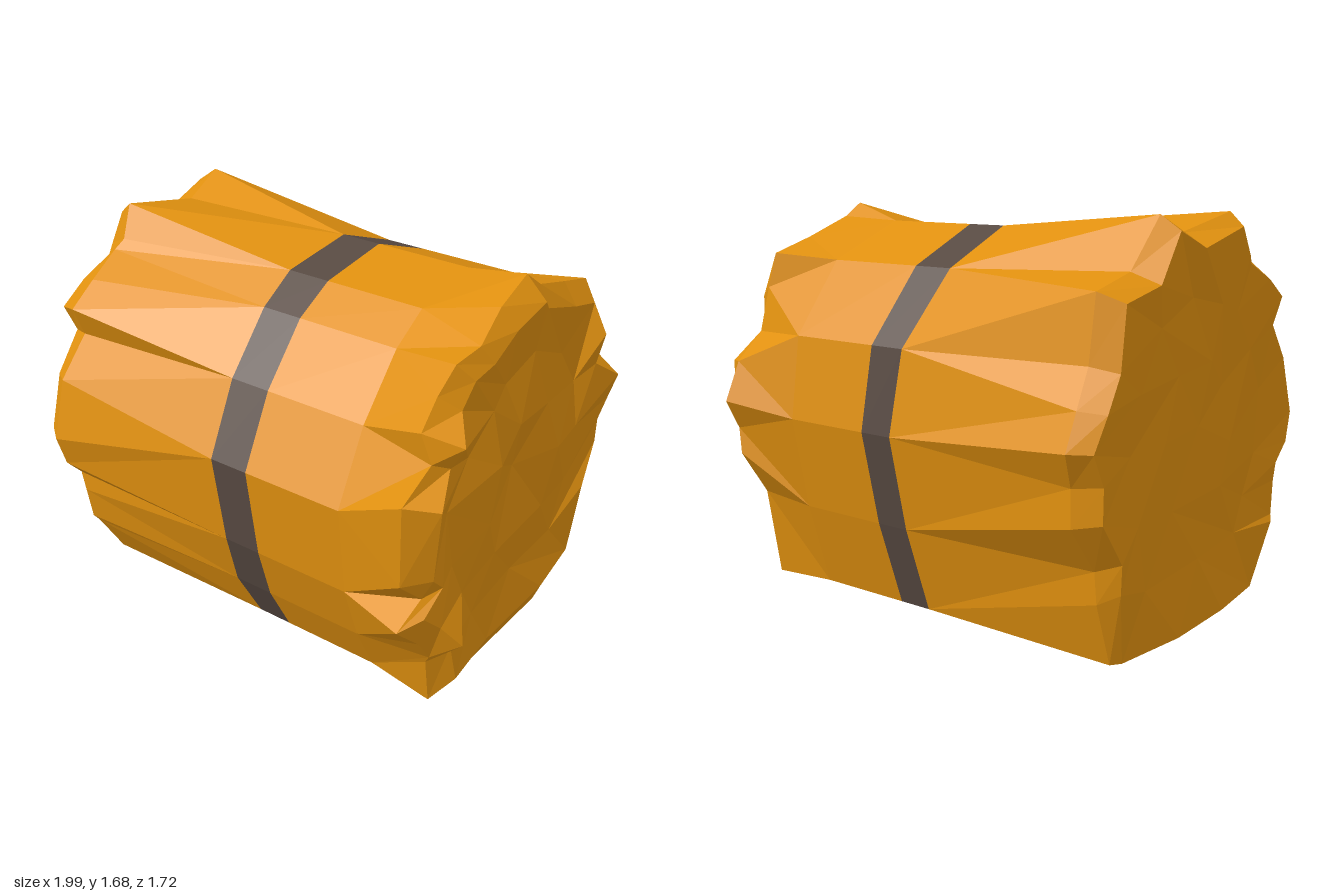
import * as THREE from 'three';

const CY = 0.84; // height of the bale's axis
const N = 28;    // points in every section

// Outlines as [z, y], running from the front bottom edge over the top, down the back and underneath
const waist = [[0.55, 0.03], [0.66, 0.26], [0.75, 0.53], [0.79, 0.93], [0.63, 1.22], [0.42, 1.45],
  [0.25, 1.55], [-0.09, 1.6], [-0.47, 1.45], [-0.71, 1.15], [-0.76, 0.8], [-0.68, 0.4],
  [-0.57, 0.03], [0, 0.03]];
const rimPlus = [[0.58, 0.01], [0.63, 0.25], [0.65, 0.3], [0.73, 0.42], [0.84, 0.53], [0.72, 0.63],
  [0.81, 0.72], [0.84, 1.09], [0.69, 1.2], [0.7, 1.32], [0.6, 1.42], [0.52, 1.52],
  [0.38, 1.54], [0.2, 1.62], [-0.02, 1.67], [-0.09, 1.61], [-0.34, 1.53], [-0.55, 1.47],
  [-0.57, 1.32], [-0.62, 1.13], [-0.78, 1.02], [-0.84, 0.85], [-0.77, 0.72], [-0.78, 0.61],
  [-0.65, 0.41], [-0.59, 0.02], [-0.25, 0.01], [0.25, 0]];
const rimMinus = [[0.55, 0.02], [0.69, 0.25], [0.71, 0.28], [0.74, 0.44], [0.74, 0.53], [0.82, 0.62],
  [0.86, 0.76], [0.8, 1.03], [0.66, 1.2], [0.71, 1.33], [0.58, 1.42], [0.42, 1.5],
  [0.38, 1.54], [0.3, 1.67], [-0.05, 1.6], [-0.25, 1.68], [-0.42, 1.48], [-0.65, 1.43],
  [-0.69, 1.17], [-0.79, 1.03], [-0.86, 0.89], [-0.79, 0.75], [-0.79, 0.6], [-0.66, 0.41],
  [-0.65, 0.28], [-0.57, 0.02], [-0.2, 0.02], [0.2, 0.02]];
// Slightly crooked edges of the strap
const strapMinus = [-0.05, -0.08, -0.05, -0.07, -0.08, -0.08, -0.08, -0.06, -0.08, -0.03, 0, -0.01,
  -0.03, -0.04];
const strapPlus = [0.11, 0.1, 0.12, 0.105, 0.1, 0.1, 0.11, 0.12, 0.1, 0.13, 0.15, 0.14, 0.12, 0.11];
// Rim points that stick out of, or lie behind, the two ends
const tipsPlus = { 2: 0.99, 7: 0.97, 9: 0.98, 18: 0.98, 20: 0.98, 25: 0.9 };
const tipsMinus = { 0: -0.97, 25: -0.95, 26: -1, 27: -1 };

// Repeatable wobble between -1 and 1
const wobble = (i, seed) => {
  const s = Math.sin(i * 12.99 + seed * 78.23) * 43758.55;
  return (s - Math.floor(s)) * 2 - 1;
};

// The smooth body repeats each of its 14 points
const waistRing = (xs) => Array.from({ length: N }, (_, i) => {
  const k = i >> 1, [z, y] = waist[k];
  return [Array.isArray(xs) ? xs[k] : xs, y, z];
});
// Ragged rim, optionally shrunk towards the axis; the flat bottom is raised by lift
const rimRing = (rim, x, scale, jitter, seed, lift = 0, tips = {}) => rim.map(([z, y], i) => [
  tips[i] ?? x + jitter * wobble(i, seed),
  y < 0.05 ? y + lift : CY + (y - CY) * scale,
  z * scale]);
// Inner ring of an end face, using every n-th waist point
const capRing = (x, scale, n, jitter, seed) => Array.from({ length: N }, (_, i) => {
  const k = Math.floor(i / (2 * n)) * n, [z, y] = waist[k];
  const s = scale * (1 + 0.04 * wobble(k, seed + 3));
  return [x + jitter * wobble(k, seed), CY + (y - CY) * s, z * s];
});
const pole = (x) => Array.from({ length: N }, () => [x, CY, 0]);

// Skin neighbouring sections, leaving out collapsed triangles
function loft(sections) {
  const pos = [];
  const same = (p, q) => p.every((v, i) => Math.abs(v - q[i]) < 1e-6);
  const tri = (a, b, c) => {
    if (!same(a, b) && !same(b, c) && !same(a, c)) pos.push(...a, ...b, ...c);
  };
  for (let s = 0; s < sections.length - 1; s++) {
    for (let i = 0; i < N; i++) {
      const j = (i + 1) % N;
      const a = sections[s][i], b = sections[s][j];
      const d = sections[s + 1][i], c = sections[s + 1][j];
      tri(a, d, c);
      tri(a, c, b);
    }
  }
  const geo = new THREE.BufferGeometry();
  geo.setAttribute('position', new THREE.Float32BufferAttribute(pos, 3));
  geo.computeVertexNormals();
  return geo;
}

export function createModel() {
  const straw = new THREE.MeshStandardMaterial({ color: 0xe0900f, flatShading: true });
  straw.name = 'straw';
  const dark = new THREE.MeshStandardMaterial({ color: 0x584a42, flatShading: true });
  dark.name = 'strap brown';

  const group = new THREE.Group();
  group.name = 'hayBale';
  const add = (name, material, sections) => {
    const mesh = new THREE.Mesh(loft(sections), material);
    mesh.name = name;
    group.add(mesh);
  };

  // Long half with deep grooves and a nearly flat end
  add('grooved half', straw, [
    pole(-0.96),
    capRing(-0.96, 0.36, 2, 0.015, 1),
    capRing(-0.96, 0.68, 1, 0.015, 2),
    rimRing(rimMinus, -0.985, 0.93, 0.015, 3, 0, tipsMinus),
    rimRing(rimMinus, -0.9, 1, 0.02, 4),
    waistRing(strapMinus)]);

  // Strap around the middle
  add('strap', dark, [waistRing(strapMinus), waistRing(strapPlus)]);

  // Short half with a frayed, uneven end and a dished centre
  add('frayed half', straw, [
    waistRing(strapPlus),
    waistRing(0.55),
    rimRing(rimPlus, 0.86, 1, 0.025, 5),
    rimRing(rimPlus, 0.92, 0.89, 0.015, 6, 0.11, tipsPlus),
    capRing(0.88, 0.65, 1, 0.02, 7),
    capRing(0.915, 0.36, 2, 0.015, 8),
    pole(0.85)]);

  return group;
}
